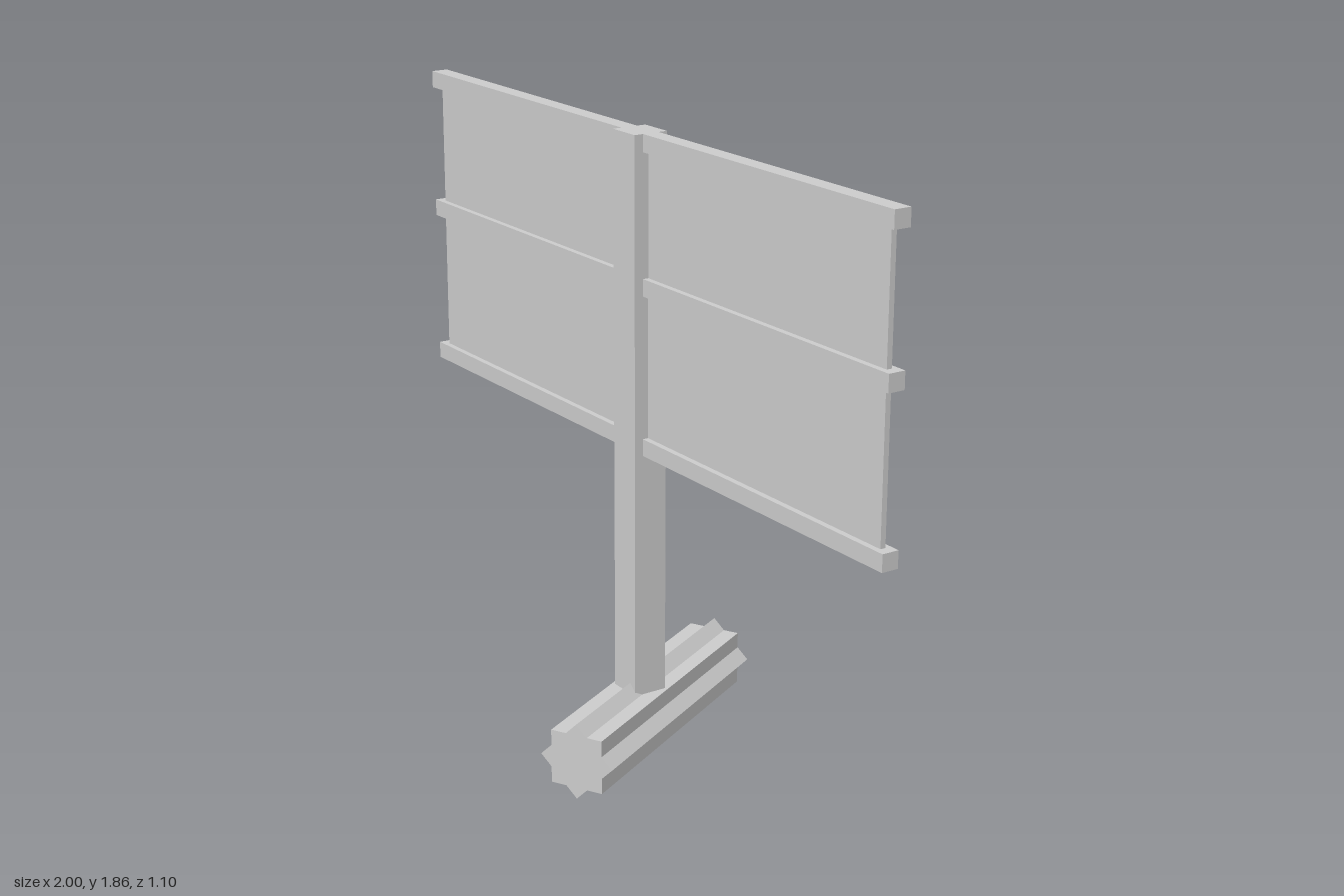
import * as THREE from 'three';

const material = new THREE.MeshStandardMaterial({ color: 0xcccccc, flatShading: true });

function addMesh(parent, name, geometry, x, y, z) {
  const mesh = new THREE.Mesh(geometry, material);
  mesh.name = name;
  mesh.position.set(x, y, z);
  parent.add(mesh);
  return mesh;
}

export function createModel() {
  const model = new THREE.Group();
  model.name = 'signOnPost';

  // Eight-pointed log lying along z
  const star = new THREE.Shape();
  const outer = 0.116, inner = outer * 0.765;
  for (let i = 0; i < 16; i++) {
    const r = i % 2 ? inner : outer;
    const a = Math.PI / 2 + (i * Math.PI) / 8;
    star[i ? 'lineTo' : 'moveTo'](r * Math.cos(a), r * Math.sin(a));
  }
  star.closePath();
  const logGeometry = new THREE.ExtrudeGeometry(star, { depth: 0.87, bevelEnabled: false });
  addMesh(model, 'baseLog', logGeometry, 0, outer, -0.49);

  // Post and board share one turn about the vertical axis
  const sign = new THREE.Group();
  sign.name = 'sign';
  sign.rotation.y = -THREE.MathUtils.degToRad(28);
  model.add(sign);

  // Square post, sunk into the log
  const postBottom = 0.12, top = 1.86;
  addMesh(sign, 'post', new THREE.BoxGeometry(0.106, top - postBottom, 0.106), 0, (top + postBottom) / 2, 0);

  // Thin board
  addMesh(sign, 'panel', new THREE.BoxGeometry(2.178, 0.87, 0.016), 0, 1.4, 0);

  // Three horizontal rails
  for (const [name, y] of [['topRail', 1.835], ['middleRail', 1.43], ['bottomRail', 0.963]]) {
    addMesh(sign, name, new THREE.BoxGeometry(2.238, 0.05, 0.051), 0, y, 0);
  }

  return model;
}
